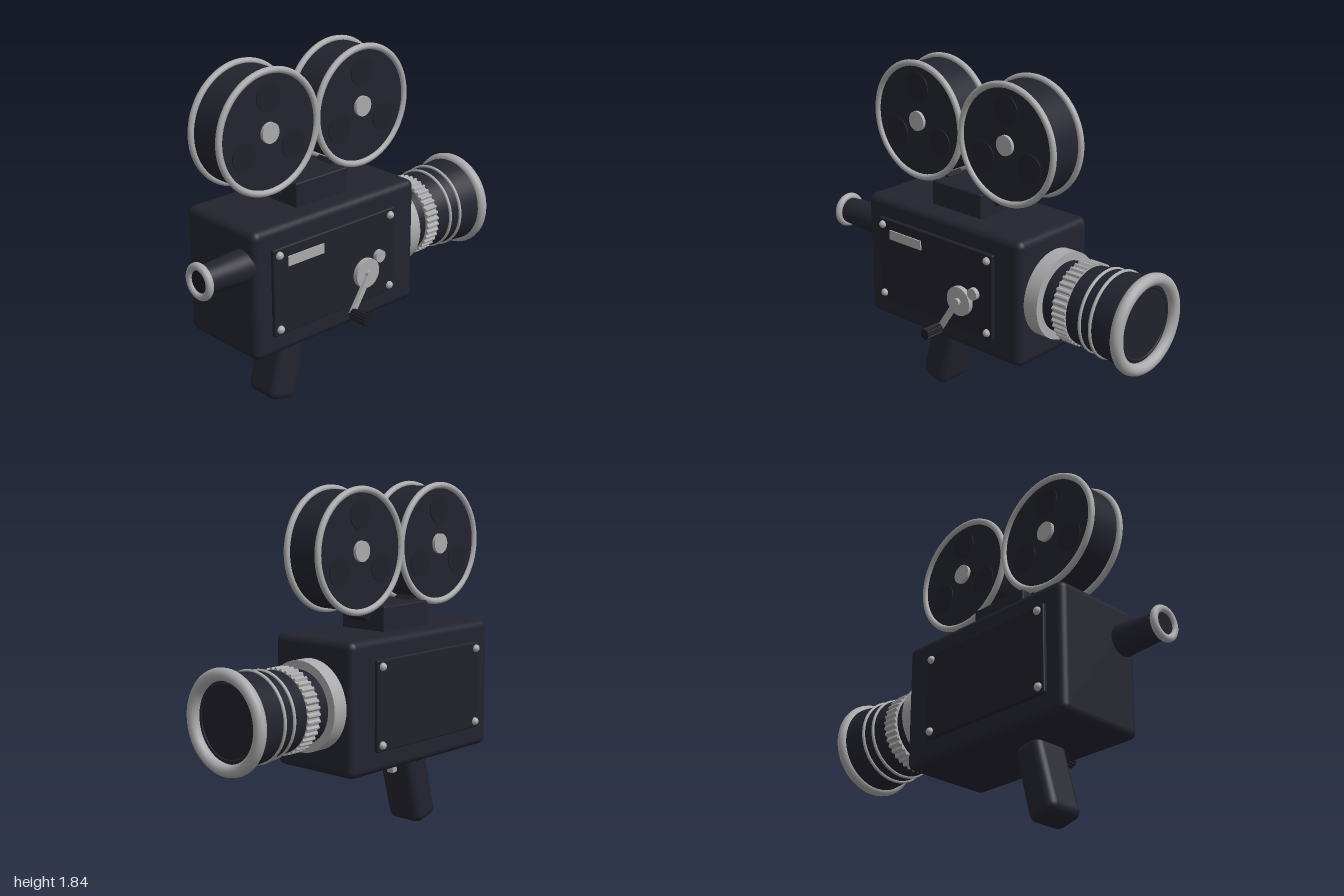
import * as THREE from 'three';
import { RoundedBoxGeometry } from 'three/addons/geometries/RoundedBoxGeometry.js';

const mat = (name, color) => {
  const m = new THREE.MeshStandardMaterial({ color });
  m.name = name;
  return m;
};

export function createModel() {
  const black = mat('black enamel', 0x23232f);
  const panelBlack = mat('panel black', 0x21212b);
  const silver = mat('brushed silver', 0xaaaaac);
  const rubber = mat('dark rubber', 0x1b1b22);
  const MID = -0.067; // depth of the camera's centre plane

  const root = new THREE.Group();
  root.name = 'filmCamera';
  const add = (name, geo, material, x = 0, y = 0, z = 0, parent = root) => {
    const m = new THREE.Mesh(geo, material);
    m.name = name;
    m.position.set(x, y, z);
    parent.add(m);
    return m;
  };
  const group = (name, x, y, z) => {
    const g = new THREE.Group();
    g.name = name;
    g.position.set(x, y, z);
    root.add(g);
    return g;
  };
  const box = (w, h, d) => new THREE.BoxGeometry(w, h, d);
  // Cylinders along z or x; r1 is the radius at the + end
  const cylZ = (r, len, seg = 32) => new THREE.CylinderGeometry(r, r, len, seg).rotateX(Math.PI / 2);
  const cylX = (r1, r0, len, seg = 48) => new THREE.CylinderGeometry(r1, r0, len, seg).rotateZ(-Math.PI / 2);
  const ringX = (r, tube) => new THREE.TorusGeometry(r, tube, 14, 56).rotateY(Math.PI / 2);
  // Toothed disc for knurled parts, extruded along z from 0 to len
  const knurl = (r, depth, teeth, len) => {
    const s = new THREE.Shape();
    for (let i = 0; i < teeth * 4; i++) {
      const a = (i / (teeth * 4)) * Math.PI * 2;
      const q = i % 4 < 2 ? r : r - depth;
      s[i ? 'lineTo' : 'moveTo'](Math.cos(a) * q, Math.sin(a) * q);
    }
    return new THREE.ExtrudeGeometry(s, { depth: len, bevelEnabled: false });
  };

  // Body and its two bolted side panels
  add('body', new RoundedBoxGeometry(1.105, 0.69, 0.53, 4, 0.04), black, -0.167, 0.755, MID);
  for (const side of [1, -1]) {
    const z = MID + side * 0.265;
    add('sidePanel', new RoundedBoxGeometry(0.83, 0.47, 0.04, 2, 0.008), panelBlack, -0.2, 0.76, z);
    for (const x of [-0.58, 0.18]) for (const y of [0.56, 0.96])
      add('bolt', new THREE.SphereGeometry(0.021, 16, 12), silver, x, y, z + side * 0.022);
  }
  add('namePlate', box(0.235, 0.052, 0.009), silver, -0.408, 0.914, 0.221);

  // Magazine mount with reel brackets
  add('magazineMount', new RoundedBoxGeometry(0.35, 0.17, 0.29, 2, 0.008), black, -0.167, 1.145, MID);
  for (const s of [1, -1]) {
    const b = add('reelBracket', box(0.1, 0.03, 0.11), rubber, -0.167 + s * 0.18, 1.2, MID);
    b.rotation.z = -s * 0.95;
  }

  // Film reels
  for (const x of [-0.478, 0.144]) {
    const reel = group('reel', x, 1.519, MID);
    add('reelDrum', cylZ(0.302, 0.21, 64), black, 0, 0, 0, reel);
    for (const s of [1, -1]) {
      add('reelRim', new THREE.TorusGeometry(0.308, 0.017, 12, 64), silver, 0, 0, s * 0.105, reel);
      add('reelHub', cylZ(0.053, 0.02), silver, 0, 0, s * 0.113, reel);
      for (let i = 0; i < 3; i++) {
        const a = Math.PI / 2 + (i * Math.PI * 2) / 3;
        add('reelInset', cylZ(0.075, 0.006), panelBlack, Math.cos(a) * 0.18, Math.sin(a) * 0.18, s * 0.107, reel);
      }
    }
  }

  // Lens
  const lens = group('lens', 0, 0.763, -0.065);
  add('lensMount', cylX(0.233, 0.233, 0.09), silver, 0.425, 0, 0, lens);
  add('lensBarrel', cylX(0.238, 0.187, 0.5), black, 0.705, 0, 0, lens);
  add('focusRing', knurl(0.218, 0.011, 40, 0.085).rotateY(Math.PI / 2), silver, 0.55, 0, 0, lens);
  add('barrelRing', ringX(0.216, 0.009), silver, 0.73, 0, 0, lens);
  add('barrelRing', ringX(0.224, 0.009), silver, 0.8, 0, 0, lens);
  add('frontRing', ringX(0.231, 0.032), silver, 0.968, 0, 0, lens);
  add('lensRetainer', ringX(0.185, 0.008), black, 0.956, 0, 0, lens);
  add('lensGlass', cylX(0.18, 0.18, 0.01), panelBlack, 0.954, 0, 0, lens);

  // Viewfinder
  const finder = group('viewfinder', 0, 0.912, 0.107);
  add('finderTube', cylX(0.087, 0.07, 0.29), black, -0.835, 0, 0, finder);
  add('eyepieceRing', ringX(0.076, 0.02), silver, -0.98, 0, 0, finder);
  add('eyepieceGlass', cylX(0.065, 0.065, 0.01), rubber, -0.979, 0, 0, finder);

  // Hand crank
  const crank = group('crank', 0, 0.69, 0);
  add('crankDisc', cylZ(0.08, 0.04), silver, 0, 0, 0.225, crank);
  add('crankButton', cylZ(0.033, 0.035), silver, 0.095, 0.067, 0.225, crank);
  const arm = add('crankArm', box(0.235, 0.032, 0.018), silver, -0.06, -0.09, 0.253, crank);
  arm.rotation.z = Math.atan2(0.18, 0.12);
  add('crankPivot', cylZ(0.02, 0.02), silver, 0, 0, 0.253, crank);
  add('crankHandle', knurl(0.031, 0.005, 12, 0.11), rubber, -0.123, -0.185, 0.26, crank);

  // Grip and trigger
  const grip = group('gripAssembly', -0.358, 0.217, -0.065);
  grip.rotation.z = -0.26;
  add('grip', new RoundedBoxGeometry(0.17, 0.42, 0.22, 4, 0.045), black, 0, 0, 0, grip);
  add('trigger', new RoundedBoxGeometry(0.04, 0.1, 0.05, 3, 0.01), silver, 0.099, 0.155, 0, grip);

  return root;
}
